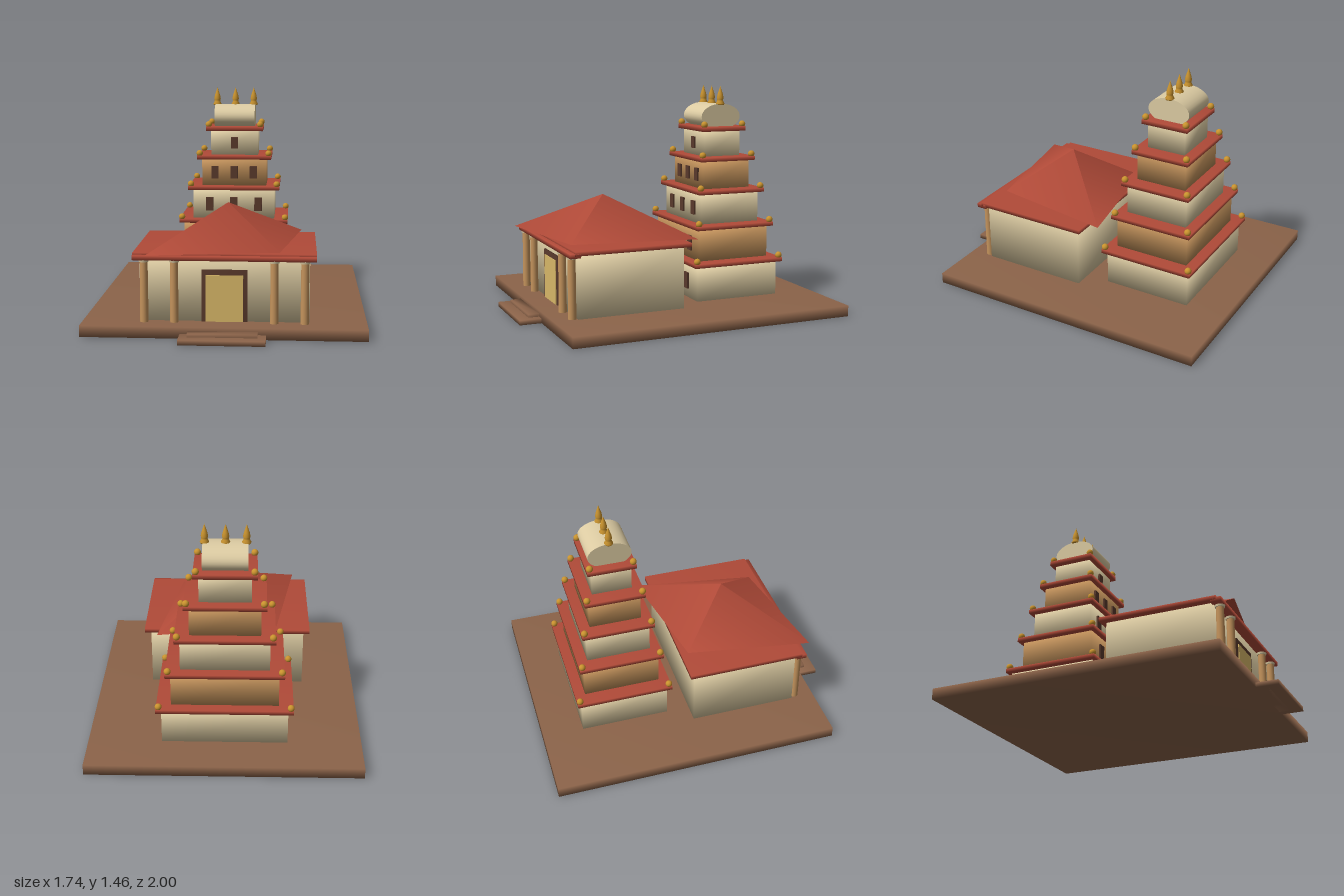
import * as THREE from 'three';
import { mergeVertices } from 'three/addons/utils/BufferGeometryUtils.js';

const mat = (name, color) => {
  const m = new THREE.MeshStandardMaterial({ color });
  m.name = name;
  return m;
};

export function createModel() {
  const model = new THREE.Group();
  model.name = 'temple';

  const earth = mat('earthBrown', 0x8b6349);
  const red = mat('roofRed', 0xb04a38);
  const cream = mat('creamPlaster', 0xdccba2);
  const tan = mat('tanStone', 0xc4935c);
  const dark = mat('darkWood', 0x5a3a2c);
  const gold = mat('gold', 0xc8922e);
  const doorGold = mat('doorGold', 0xd9b868);

  const add = (name, geometry, material, x, y, z, parent = model) => {
    const mesh = new THREE.Mesh(geometry, material);
    mesh.name = name;
    mesh.position.set(x, y, z);
    parent.add(mesh);
    return mesh;
  };

  // Box from half width, y range and z range; corners share softened normals
  const block = (name, material, hx, y0, y1, z0, z1, x = 0, parent = model) => {
    let g = new THREE.BoxGeometry(hx * 2, y1 - y0, z1 - z0);
    g.deleteAttribute('normal');
    g.deleteAttribute('uv');
    g = mergeVertices(g);
    g.computeVertexNormals();
    return add(name, g, material, x, (y0 + y1) / 2, (z0 + z1) / 2, parent);
  };

  const group = (name) => {
    const g = new THREE.Group();
    g.name = name;
    model.add(g);
    return g;
  };

  // Platform and front steps
  block('platform', earth, 0.87, 0, 0.07, -1, 0.86);
  block('lowerStep', earth, 0.26, 0, 0.03, 0.86, 1);
  block('upperStep', earth, 0.21, 0, 0.05, 0.86, 0.93);

  // Front hall
  const hall = group('hall');
  block('hallWalls', cream, 0.52, 0.07, 0.47, 0, 0.705, 0, hall);
  block('hallEave', red, 0.56, 0.47, 0.497, -0.035, 0.735, 0, hall);
  block('porchBeam', red, 0.56, 0.457, 0.485, 0.7, 0.767, 0, hall);

  // Four-sided roof stretched along one diagonal
  const roof = new THREE.ConeGeometry(0.475, 0.257, 4);
  roof.scale(1.4, 1, 1);
  roof.rotateY(Math.PI / 4);
  add('hallRoof', roof, red, 0, 0.498 + 0.257 / 2, 0.35, hall);

  // Doorway
  block('doorFrame', dark, 0.14, 0.07, 0.393, 0.7, 0.715, 0, hall);
  add('door', new THREE.BoxGeometry(0.23, 0.29, 0.008), doorGold, 0, 0.215, 0.716, hall);

  // Porch columns with capitals
  const shaft = new THREE.CylinderGeometry(0.024, 0.026, 0.385, 16);
  const capital = new THREE.CylinderGeometry(0.033, 0.03, 0.016, 16);
  for (const x of [-0.49, -0.305, 0.305, 0.49]) {
    add('column', shaft, tan, x, 0.2625, 0.735, hall);
    add('capital', capital, cream, x, 0.452, 0.735, hall);
  }

  // Tower tiers: half width, half depth, bottom, wall top, eave top
  const tower = group('tower');
  const cz = -0.443;
  const tiers = [
    [0.40, 0.29, 0.07, 0.296, 0.322],
    [0.34, 0.25, 0.322, 0.53, 0.556],
    [0.281, 0.21, 0.556, 0.754, 0.78],
    [0.223, 0.17, 0.78, 0.963, 0.99],
    [0.163, 0.13, 0.99, 1.157, 1.187],
  ];
  const ball = new THREE.SphereGeometry(0.022, 16, 12);
  tiers.forEach(([hx, hz, y0, y1, y2], i) => {
    const ex = hx + 0.034, ez = hz + 0.028;
    block('tierWalls', i % 2 ? tan : cream, hx, y0, y1, cz - hz, cz + hz, 0, tower);
    block('tierEave', red, ex, y1, y2, cz - ez, cz + ez, 0, tower);

    // Corner balls
    for (const sx of [-1, 1]) {
      for (const sz of [-1, 1]) {
        add('cornerBall', ball, gold, sx * (ex - 0.018), y2 + 0.015, cz + sz * (ez - 0.018), tower);
      }
    }

    // Front windows
    const wh = (y1 - y0) * 0.47, wy = (y0 + y1) / 2;
    const windowBox = new THREE.BoxGeometry(0.056 - i * 0.002, wh, 0.024);
    for (const x of i === 4 ? [0] : [-0.6 * hx, 0, 0.6 * hx]) {
      add('window', windowBox, dark, x, wy, cz + hz, tower);
    }
  });

  // Barrel vault crowning the tower
  const vault = new THREE.CylinderGeometry(0.142, 0.142, 0.28, 32);
  vault.rotateZ(Math.PI / 2);
  vault.scale(1, 0.6, 1);
  add('vault', vault, cream, 0, 1.252, cz, tower);

  // Finials along the ridge
  const profile = [[0, 0], [0.026, 0], [0.029, 0.008], [0.02, 0.025], [0.02, 0.035],
    [0.023, 0.045], [0.018, 0.07], [0.008, 0.1], [0, 0.125]];
  const finial = new THREE.LatheGeometry(profile.map(([r, y]) => new THREE.Vector2(r, y)), 16);
  for (const x of [-0.128, 0, 0.128]) add('finial', finial, gold, x, 1.33, cz, tower);

  return model;
}
